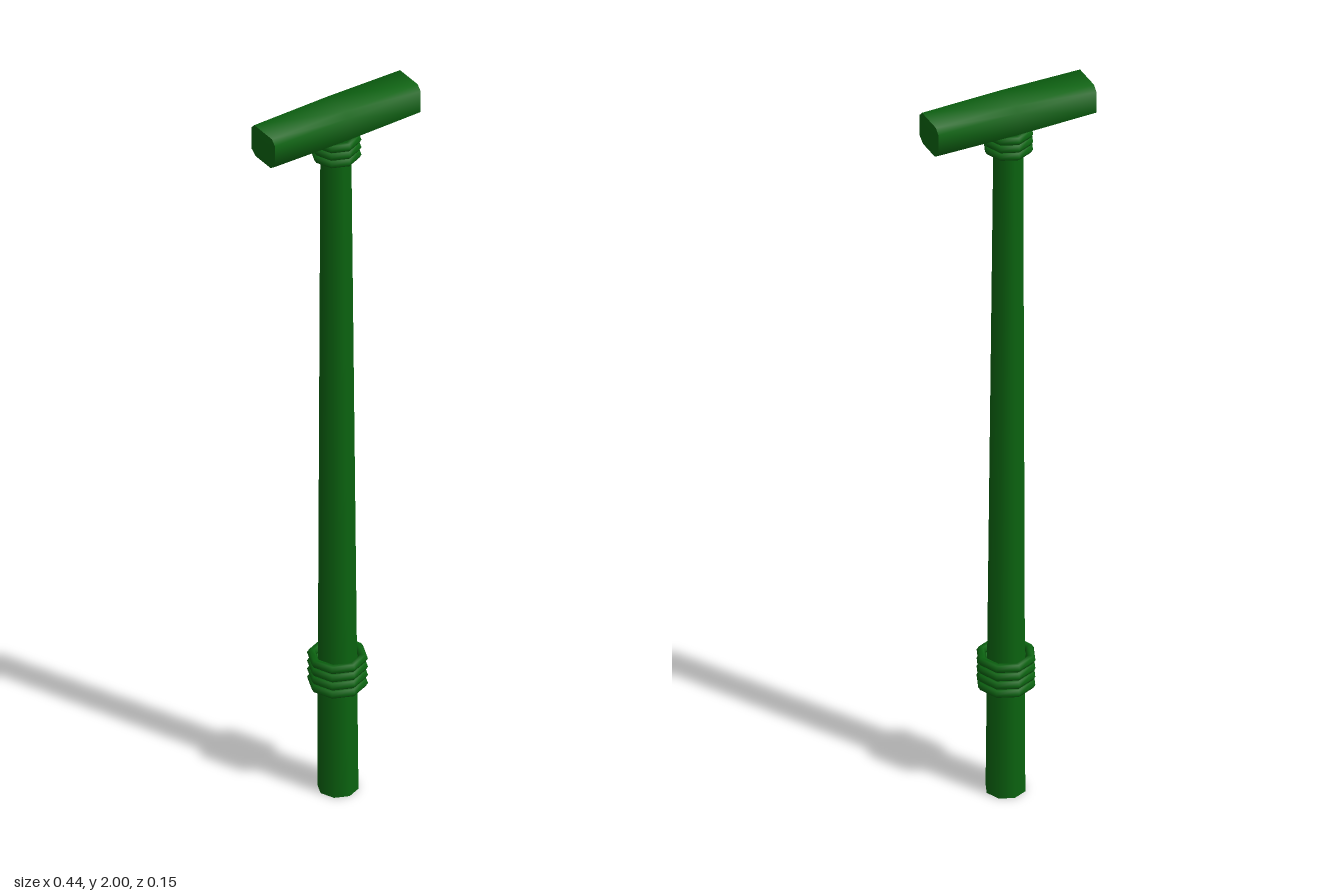
import * as THREE from 'three';
import { toCreasedNormals } from 'three/addons/utils/BufferGeometryUtils.js';

const green = new THREE.MeshStandardMaterial({ color: 0x0b6410 });

// Centre line of the slightly leaning shaft
const HEIGHT = 1.92;
const bottom = new THREE.Vector3(0.011, 0, 0.003);
const top = new THREE.Vector3(-0.002, HEIGHT, 0.013);
const centreAt = (y) => bottom.clone().lerp(top, y / HEIGHT);

function add(group, name, geometry) {
  const mesh = new THREE.Mesh(geometry, green);
  mesh.name = name;
  group.add(mesh);
  return mesh;
}

// Tapered shaft, sheared along its centre line
function shaftGeometry() {
  const geo = new THREE.CylinderGeometry(0.038, 0.051, HEIGHT, 8);
  geo.translate(0, HEIGHT / 2, 0);
  const p = geo.attributes.position;
  for (let i = 0; i < p.count; i++) {
    const c = centreAt(p.getY(i));
    p.setXYZ(i, p.getX(i) + c.x, p.getY(i), p.getZ(i) + c.z);
  }
  return geo;
}

// Crossbar: chamfered section, slightly fuller in the middle, shallow domed ends
function handleGeometry() {
  const geo = new THREE.CylinderGeometry(1, 1, 2, 8, 2, false, Math.PI / 8);
  geo.rotateZ(Math.PI / 2);
  const p = geo.attributes.position;
  const step = (v, small, large) =>
    Math.abs(v) < 0.01 ? 0 : Math.sign(v) * (Math.abs(v) > 0.5 ? large : small);
  for (let i = 0; i < p.count; i++) {
    const x = p.getX(i), y = p.getY(i), z = p.getZ(i);
    const tip = Math.hypot(y, z) < 0.01;
    const fullness = Math.abs(x) < 0.5 ? 1.04 : 1;
    p.setXYZ(i, x * (tip ? 0.22 : 0.215),
      step(y, 0.03, 0.0435) * fullness,
      step(z, y < 0 ? 0.032 : 0.038, 0.051) * fullness);
  }
  return toCreasedNormals(geo, 1.0);
}

export function createModel() {
  const model = new THREE.Group();
  model.name = 'walkingStick';

  add(model, 'shaft', shaftGeometry());
  add(model, 'handle', handleGeometry()).position.set(0, 1.954, 0.011);

  // Stacked binding rings near the foot and under the handle
  const bindings = [
    { name: 'lowerRing', radius: 0.064, ys: [0.313, 0.337, 0.361, 0.385] },
    { name: 'upperRing', radius: 0.052, ys: [1.861, 1.883, 1.905] },
  ];
  for (const { name, radius, ys } of bindings) {
    const geo = new THREE.TorusGeometry(radius, 0.0115, 6, 8);
    geo.rotateX(Math.PI / 2);
    for (const y of ys) add(model, name, geo).position.copy(centreAt(y));
  }
  return model;
}
